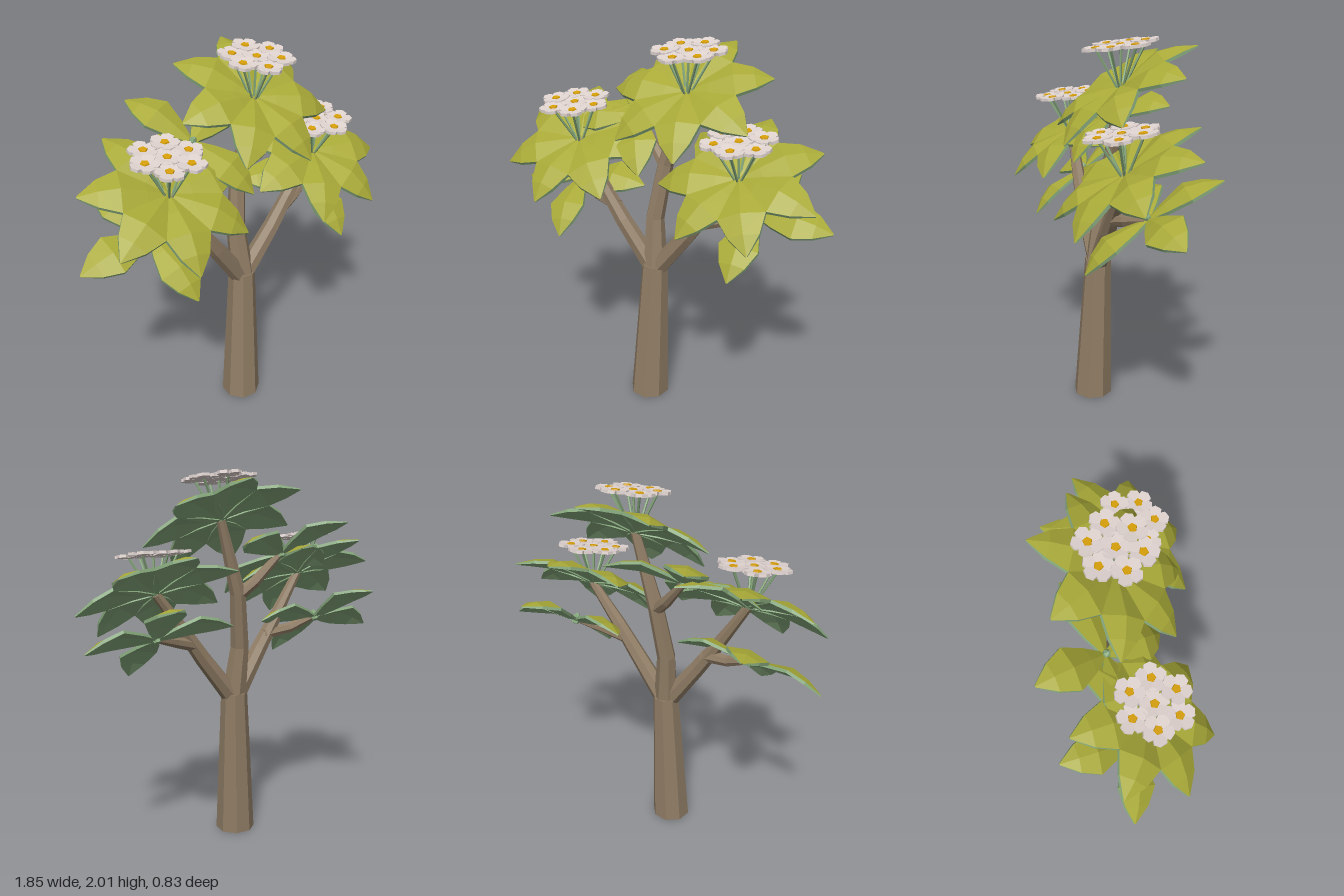
import * as THREE from 'three';
import { mergeGeometries } from 'three/addons/utils/BufferGeometryUtils.js';

const mat = (name, color) => {
  const m = new THREE.MeshStandardMaterial({ color });
  m.name = name;
  return m;
};
const V = (x, y, z) => new THREE.Vector3(x, y, z);

// Faceted geometry from a list of corner points, three per triangle
function faceted(points) {
  const g = new THREE.BufferGeometry().setFromPoints(points);
  g.computeVertexNormals();
  return g;
}

// Tapered limb through points [x, y, z, radius], with closed ends
function limb(path, sides) {
  const centres = path.map(p => V(p[0], p[1], p[2]));
  const rings = path.map((p, i) => {
    const before = centres[Math.max(i - 1, 0)];
    const after = centres[Math.min(i + 1, path.length - 1)];
    const dir = i === 0 && p[1] === 0 ? V(0, 1, 0) : after.clone().sub(before).normalize();
    const q = new THREE.Quaternion().setFromUnitVectors(V(0, 1, 0), dir);
    return Array.from({ length: sides }, (_, k) => {
      const a = (k + 0.3) / sides * Math.PI * 2;
      return V(Math.sin(a) * p[3], 0, Math.cos(a) * p[3]).applyQuaternion(q).add(centres[i]);
    });
  });
  const pts = [];
  const last = rings.length - 1;
  for (let k = 0; k < sides; k++) {
    const n = (k + 1) % sides;
    for (let i = 0; i < last; i++) {
      const [a, b, c, d] = [rings[i][k], rings[i][n], rings[i + 1][n], rings[i + 1][k]];
      pts.push(a, b, c, a, c, d);
    }
    pts.push(centres[0], rings[0][n], rings[0][k], centres[last], rings[last][k], rings[last][n]);
  }
  return faceted(pts);
}

// Leaf along +x: rows of [distance, height, half width], folded along the midrib
function leafGeometries() {
  const rows = [
    [0.005, 0, 0.014], [0.11, 0.022, 0.068], [0.24, 0.042, 0.115],
    [0.34, 0.01, 0.074], [0.428, -0.042, 0.004],
  ];
  const top = rows.map(([r, h, w]) => [V(r, h - w * 0.22, -w), V(r, h, 0), V(r, h - w * 0.22, w)]);
  const under = top.map((row, i) =>
    row.map(p => p.clone().add(V(0, i === rows.length - 1 ? -0.006 : -0.017, 0))));
  const upper = [], lower = [];
  const quad = (out, a, b, c, d) => out.push(a, b, c, a, c, d);
  for (let i = 0; i < rows.length - 1; i++) {
    for (let j = 0; j < 2; j++) {
      quad(upper, top[i][j], top[i][j + 1], top[i + 1][j + 1], top[i + 1][j]);
      quad(lower, under[i][j], under[i + 1][j], under[i + 1][j + 1], under[i][j + 1]);
    }
    quad(lower, top[i][2], under[i][2], under[i + 1][2], top[i + 1][2]);
    quad(lower, top[i][0], top[i + 1][0], under[i + 1][0], under[i][0]);
  }
  return [faceted(upper), faceted(lower)];
}

// Five broad blunt petals lying flat
function petalGeometry() {
  const s = new THREE.Shape([
    [0, 0], [0.036, -0.03], [0.062, -0.03], [0.076, 0], [0.062, 0.03], [0.036, 0.03],
  ].map(p => new THREE.Vector2(p[0], p[1])));
  const petals = [];
  for (let i = 0; i < 5; i++) {
    const g = new THREE.ExtrudeGeometry(s, { depth: 0.015, bevelEnabled: false });
    g.rotateX(-Math.PI / 2).rotateZ(0.1).rotateY(i * Math.PI * 2 / 5);
    petals.push(g);
  }
  return mergeGeometries(petals);
}

export function createModel() {
  const bark = mat('bark brown', 0x907d65);
  const olive = mat('leaf olive', 0xa9aa38);
  const green = mat('leaf underside green', 0x86a87c);
  const white = mat('petal white', 0xe0d4d0);
  const gold = mat('flower gold', 0xd8a008);

  const model = new THREE.Group();
  model.name = 'floweringTree';
  const add = (parent, name, geometry, material) => {
    const mesh = new THREE.Mesh(geometry, material);
    mesh.name = name;
    parent.add(mesh);
    return mesh;
  };

  // Trunk and branches
  add(model, 'trunk', limb([[-0.035, 0, 0.075, 0.109], [-0.01, 0.82, 0.048, 0.073]], 8), bark);
  const branches = {
    middleStem: [[-0.01, 0.8, 0.05, 0.068], [-0.027, 1.08, 0.02, 0.051], [0.015, 1.38, -0.02, 0.043], [0.13, 1.765, -0.03, 0.024]],
    rightBranch: [[-0.025, 0.8, 0.05, 0.054], [-0.2, 1.045, 0.065, 0.045], [-0.3, 1.19, 0.065, 0.038], [-0.47, 1.455, 0.06, 0.024]],
    leftBranch: [[0.005, 0.8, 0.05, 0.054], [0.19, 1.035, 0.06, 0.045], [0.3, 1.185, 0.06, 0.038], [0.47, 1.4, 0.06, 0.024]],
    rightTwig: [[-0.23, 1.12, 0.065, 0.034], [-0.39, 1.145, 0.03, 0.03], [-0.53, 1.205, -0.02, 0.018]],
    leftTwig: [[0.24, 1.11, 0.06, 0.034], [0.38, 1.15, 0.03, 0.03], [0.53, 1.19, -0.02, 0.018]],
    backTwig: [[0.02, 1.36, -0.015, 0.036], [-0.07, 1.44, -0.06, 0.031], [-0.2, 1.585, -0.11, 0.018]],
  };
  for (const [name, path] of Object.entries(branches)) add(model, name, limb(path, 7), bark);

  // Leaf whorls: centre, leaf azimuths in degrees, sideways lean, leaf scale
  const [leafTop, leafUnder] = leafGeometries();
  function whorl(name, centre, angles, lean = 0, scale = 1) {
    const group = new THREE.Group();
    group.name = name;
    group.position.set(...centre);
    group.rotation.set(0.58, 0, lean);
    for (const deg of angles) {
      const leaf = new THREE.Group();
      leaf.name = 'leaf';
      leaf.rotation.y = -deg * Math.PI / 180;
      leaf.scale.setScalar(scale);
      add(leaf, 'leafTop', leafTop, olive);
      add(leaf, 'leafUnderside', leafUnder, green);
      group.add(leaf);
    }
    model.add(group);
    return group;
  }
  const ring = start => Array.from({ length: 7 }, (_, i) => start + i * 360 / 7);

  // Small whorls of four leaves with a bud
  const small = [
    ['rightLowerLeaves', [-0.53, 1.215, -0.03], [83, 176, 253, 358], 0.1],
    ['leftLowerLeaves', [0.53, 1.2, -0.03], [91, 0, 283, 200], 0],
    ['backLeaves', [-0.2, 1.595, -0.11], [66, 165, 244, 332], 0],
  ];
  for (const [name, centre, angles, lean] of small) {
    const group = whorl(name, centre, angles, lean, 0.93);
    add(group, 'bud', limb([[0, -0.03, 0, 0.018], [0, 0.012, 0, 0.02], [0, 0.03, 0, 0.008]], 6), green);
  }

  // Large whorls, each with seven flowers on stalks
  const petals = petalGeometry();
  const eye = new THREE.CylinderGeometry(0.021, 0.027, 0.018, 5).toNonIndexed();
  eye.computeVertexNormals();
  const large = [
    ['top', [0.13, 1.775, -0.03], 25, [0.14, 1.96, -0.028], -0.3],
    ['right', [-0.47, 1.465, 0.06], 48, [-0.48, 1.65, 0.075], 0],
    ['left', [0.47, 1.41, 0.065], 13, [0.47, 1.585, 0.08], 0.44],
  ];
  for (const [name, centre, start, head, turn] of large) {
    whorl(name + 'Leaves', centre, ring(start));
    const bunch = new THREE.Group();
    bunch.name = name + 'FlowerHead';
    model.add(bunch);
    for (let i = 0; i < 7; i++) {
      const a = turn + i * Math.PI / 3;
      const r = i === 6 ? 0 : 0.121;
      const dx = Math.cos(a) * r, dz = Math.sin(a) * r;
      const at = V(head[0] + dx, head[1] - dz * 0.14 + (i % 2) * 0.004, head[2] + dz);
      add(bunch, 'stalk', limb([
        [centre[0] + dx * 0.1, centre[1] - 0.02, centre[2] + dz * 0.1, 0.006],
        [at.x, at.y + 0.003, at.z, 0.007],
      ], 5), green);
      const flower = new THREE.Group();
      flower.name = 'flower';
      flower.position.copy(at);
      flower.rotation.set(0.14, i * 1.9 + turn, 0);
      add(flower, 'petals', petals, white);
      add(flower, 'flowerCentre', eye, gold).position.y = 0.014;
      bunch.add(flower);
    }
  }
  return model;
}
